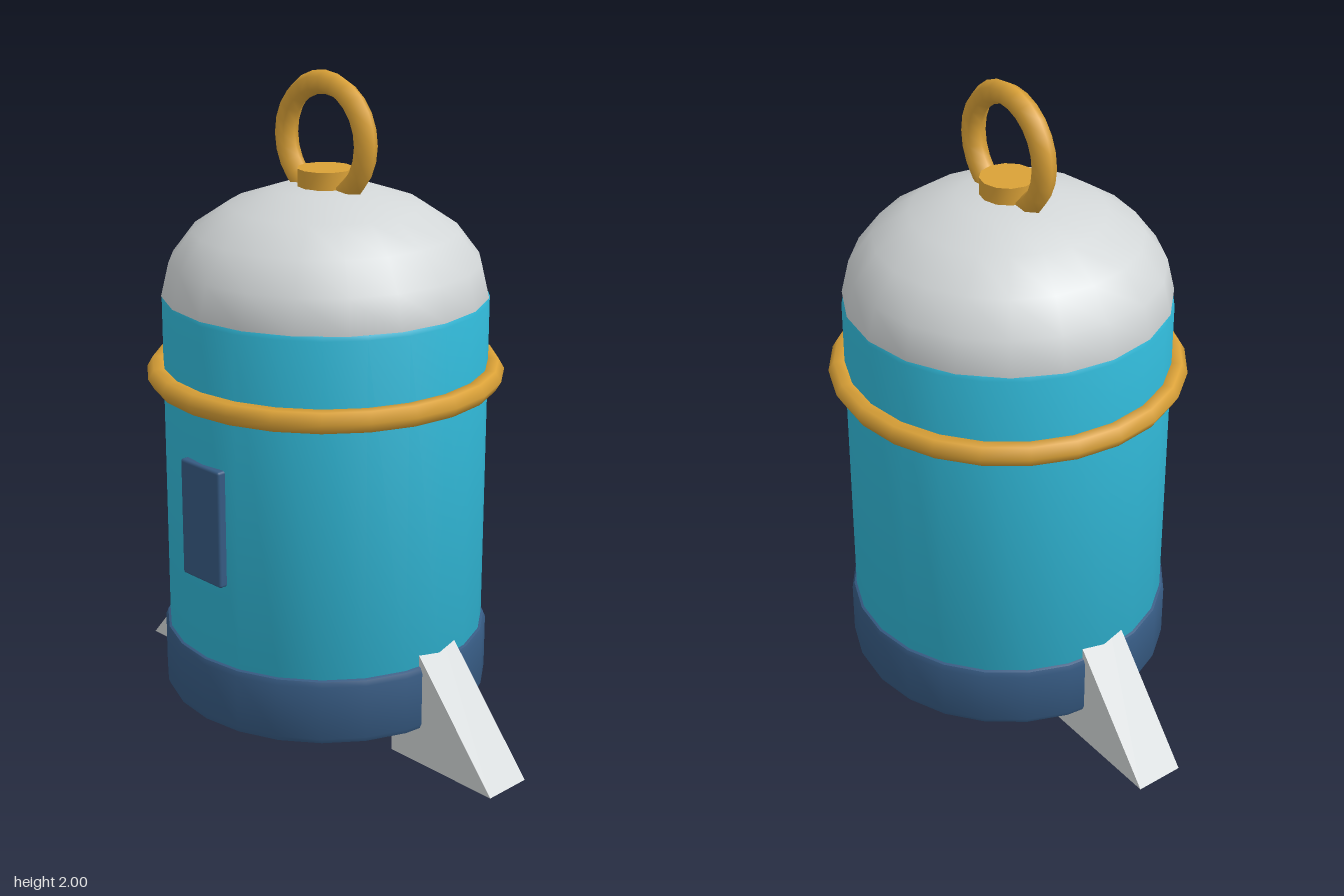
import * as THREE from 'three';
import { toCreasedNormals } from 'three/addons/utils/BufferGeometryUtils.js';
import { RoundedBoxGeometry } from 'three/addons/geometries/RoundedBoxGeometry.js';

const material = (name, color) => {
  const m = new THREE.MeshStandardMaterial({ color });
  m.name = name;
  return m;
};

export function createModel() {
  const cyan = material('cyan paint', 0x30b7d6);
  const navy = material('navy paint', 0x365a82);
  const gold = material('gold metal', 0xdaa137);
  const grey = material('pale grey', 0xd2d6d7);

  const model = new THREE.Group();
  model.name = 'capsule';

  const add = (name, geometry, mat, x = 0, y = 0, z = 0) => {
    const mesh = new THREE.Mesh(geometry, mat);
    mesh.name = name;
    mesh.position.set(x, y, z);
    model.add(mesh);
    return mesh;
  };

  // Closed drum with a small bevel on both rims
  const drum = (radius, y0, y1, bevel, segments) => {
    const profile = [
      [0, y0], [radius - bevel, y0], [radius - bevel * 0.3, y0 + bevel * 0.3], [radius, y0 + bevel],
      [radius, y1 - bevel], [radius - bevel * 0.3, y1 - bevel * 0.3], [radius - bevel, y1], [0, y1],
    ].map(([r, y]) => new THREE.Vector2(r, y));
    return toCreasedNormals(new THREE.LatheGeometry(profile, segments), 0.7);
  };

  // Hull
  add('body', drum(0.486, 0.28, 1.355, 0.018, 24), cyan);
  add('base', drum(0.5, 0.11, 0.32, 0.022, 24), navy);

  // Squashed dome roof
  const dome = new THREE.SphereGeometry(0.485, 20, 5, 0, Math.PI * 2, 0, Math.PI / 2);
  dome.scale(1, 0.325 / 0.485, 1);
  add('dome', dome, grey, 0, 1.35, 0);

  // Ring band around the hull
  const band = new THREE.TorusGeometry(0.5, 0.035, 6, 24);
  band.rotateX(Math.PI / 2);
  add('band', band, gold, 0, 1.113, 0);

  // Lifting ring and its seat
  add('ringSeat', toCreasedNormals(new THREE.CylinderGeometry(0.083, 0.083, 0.07, 12), 0.7), gold, 0, 1.683, 0);
  add('liftingRing', new THREE.TorusGeometry(0.165, 0.035, 6, 24), gold, 0, 1.8, 0);

  // Front hatch
  add('hatch', new RoundedBoxGeometry(0.168, 0.358, 0.04, 2, 0.008), navy, 0, 0.747, 0.48);

  // Side fins: triangular, running up into the hull
  for (const side of [1, -1]) {
    const shape = new THREE.Shape();
    shape.moveTo(0.368, 0);
    shape.lineTo(0.766, 0);
    shape.lineTo(0.368, 0.482);
    shape.closePath();
    const fin = new THREE.ExtrudeGeometry(shape, { depth: 0.152, bevelEnabled: false });
    fin.translate(0, 0, -0.076);
    if (side < 0) fin.rotateY(Math.PI);
    add(side > 0 ? 'leftFin' : 'rightFin', fin, grey);
  }

  return model;
}
